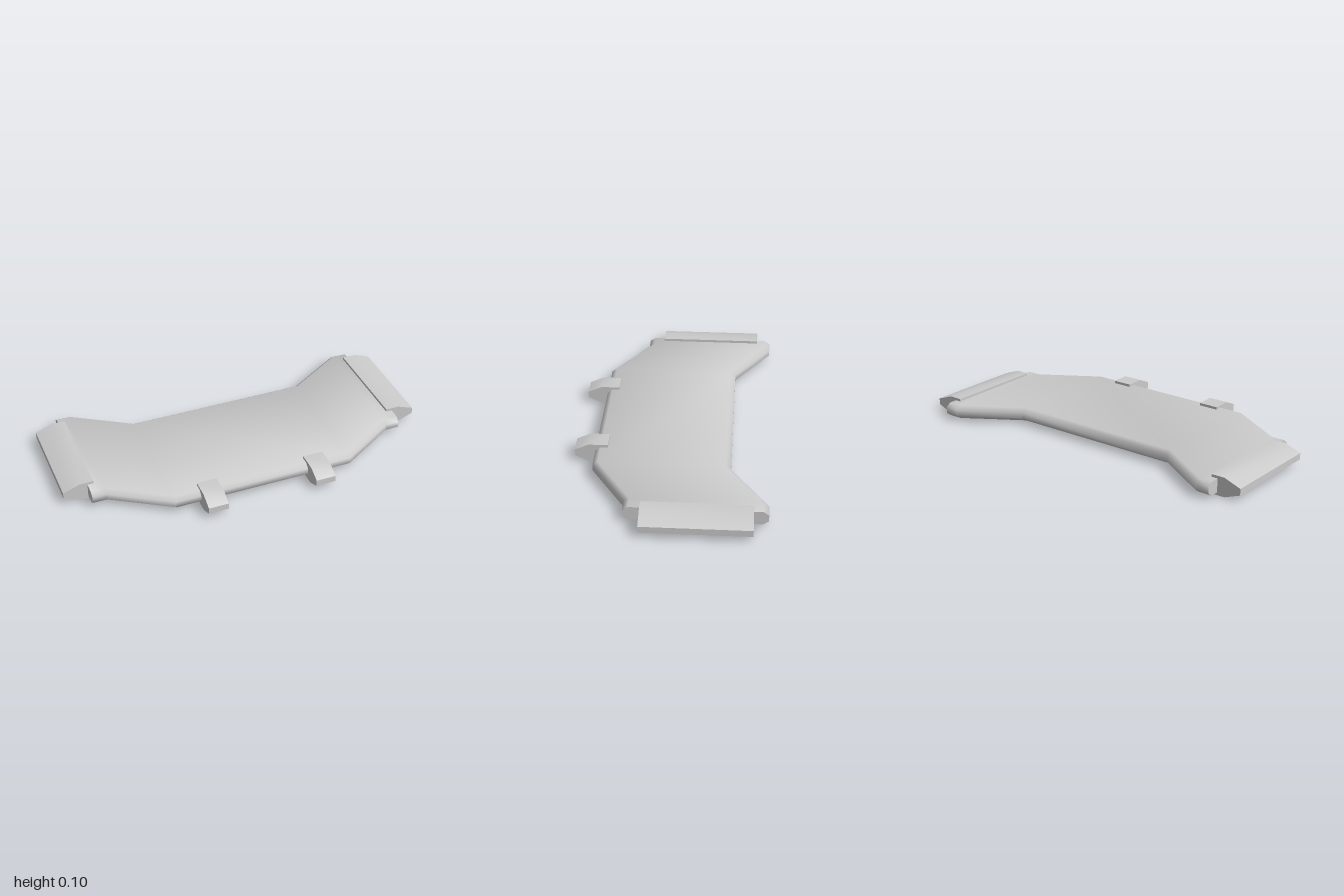
import * as THREE from 'three';
import { toCreasedNormals } from 'three/addons/utils/BufferGeometryUtils.js';

const material = new THREE.MeshStandardMaterial({ color: 0xcccccc });

// Skins convex rings of [z, y] points placed at increasing x, closing both ends.
// Rings run along the top to the front, down, and back underneath.
function loft(stations) {
  const n = stations[0].ring.length;
  const last = (stations.length - 1) * n;
  const positions = [];
  const index = [];
  for (const { x, ring } of stations) {
    for (const [z, y] of ring) positions.push(x, y, z);
  }
  for (let s = 0; s < last; s += n) {
    for (let i = 0; i < n; i++) {
      const j = (i + 1) % n;
      index.push(s + i, s + j, s + n + j, s + i, s + n + j, s + n + i);
    }
  }
  for (let i = 1; i < n - 1; i++) {
    index.push(0, i + 1, i, last, last + i, last + i + 1);
  }
  const geometry = new THREE.BufferGeometry();
  geometry.setAttribute('position', new THREE.Float32BufferAttribute(positions, 3));
  geometry.setIndex(index);
  return toCreasedNormals(geometry, Math.PI / 3);
}

// Slab cross-section with chamfered front and back edges
function slabRing(back, front) {
  const c = 0.027;
  return [
    [back + c, 0.087], [front - c, 0.087], [front, 0.067], [front, 0.033],
    [front - c, 0.014], [back + c, 0.014], [back, 0.033], [back, 0.067],
  ];
}

// Block of constant section, tapering to a blunt tip at the front
function taperedBlock(width, back, shoulder, tip) {
  const ring = [
    [back, 0.101], [shoulder, 0.101], [tip, 0.068],
    [tip, 0.034], [shoulder, 0], [back, 0],
  ];
  return loft([{ x: -width / 2, ring }, { x: width / 2, ring }]);
}

export function createModel() {
  const model = new THREE.Group();
  const add = (name, geometry) => {
    const mesh = new THREE.Mesh(geometry, material);
    mesh.name = name;
    model.add(mesh);
    return mesh;
  };

  // Main plate: straight middle with swept-back wings
  const outline = [[0.485, -0.31, 0.395], [0.795, -0.503, 0.205], [0.87, -0.503, 0.205]];
  const stations = outline.flatMap(([x, back, front]) =>
    [-x, x].map((sx) => ({ x: sx, ring: slabRing(back, front) })));
  stations.sort((a, b) => a.x - b.x);
  add('plate', loft(stations));

  for (const [side, sign] of [['left', 1], ['right', -1]]) {
    // End cap, its tip turned outwards
    const cap = add(side + 'EndCap', taperedBlock(0.55, 0.837, 0.91, 1));
    cap.rotation.y = sign * Math.PI / 2;
    cap.position.z = -0.155;

    // Front clip
    const clip = add(side + 'FrontClip', taperedBlock(0.108, 0.33, 0.43, 0.503));
    clip.position.x = sign * 0.297;
  }
  return model;
}
